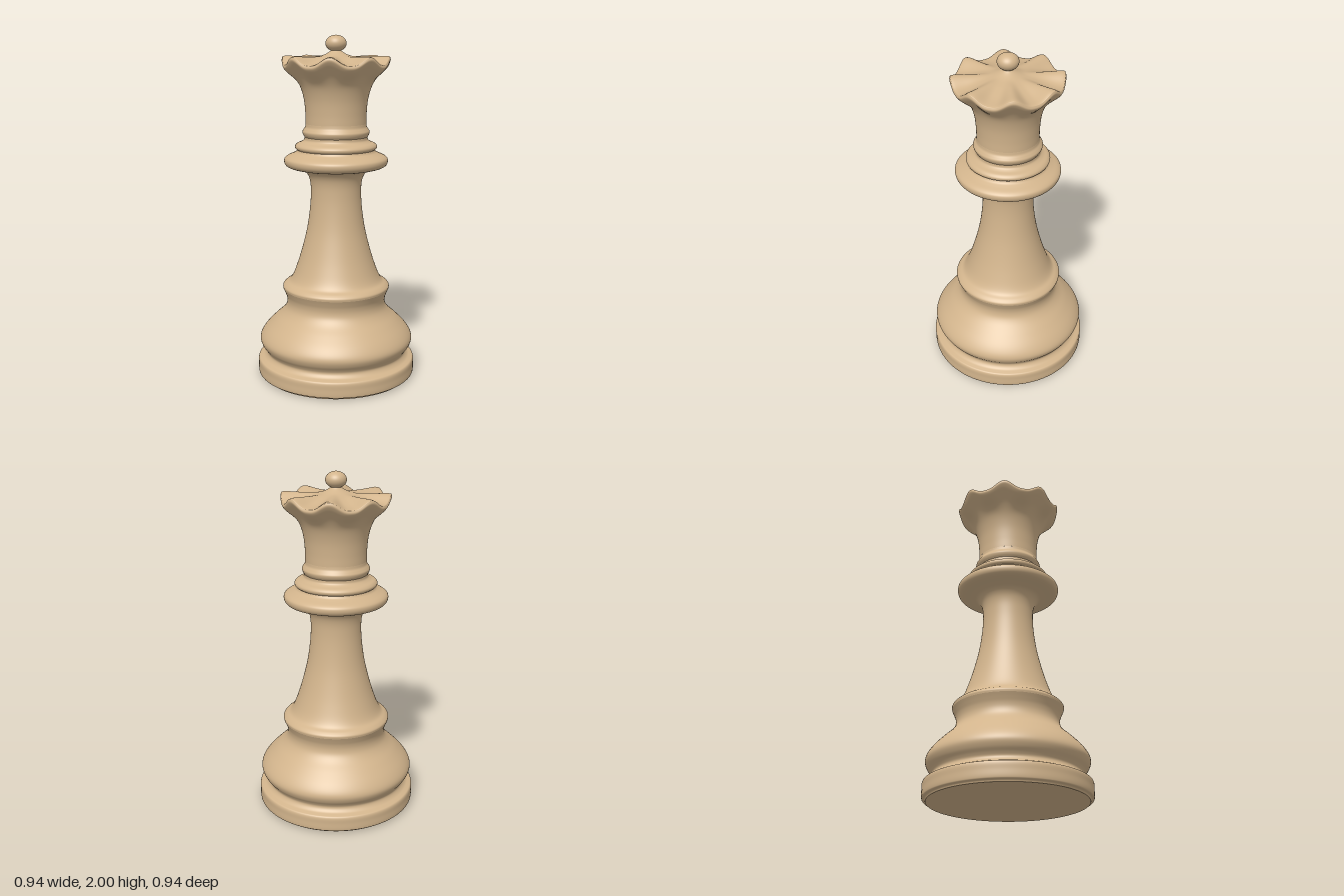
import * as THREE from 'three';
import { mergeVertices } from 'three/addons/utils/BufferGeometryUtils.js';

const SEGMENTS = 96;

// Smooth curve through [radius, height] points
function smooth(points, samples) {
  const curve = new THREE.CatmullRomCurve3(points.map(([r, y]) => new THREE.Vector3(r, y, 0)), false, 'centripetal');
  return curve.getPoints(samples).map((p) => new THREE.Vector2(Math.max(p.x, 0), p.y));
}

export function createModel() {
  const group = new THREE.Group();
  const wood = new THREE.MeshStandardMaterial({ color: 0xd2b48c });
  wood.name = 'lightWood';

  function add(name, geometry) {
    const mesh = new THREE.Mesh(geometry, wood);
    mesh.name = name;
    group.add(mesh);
    return mesh;
  }
  const turned = (name, points, samples) => add(name, new THREE.LatheGeometry(smooth(points, samples), SEGMENTS));

  // Flat underside and foot ring
  const underside = add('underside', new THREE.CircleGeometry(0.445, SEGMENTS));
  underside.rotation.x = Math.PI / 2;
  turned('footRing', [[0.445, 0], [0.45, 0.01], [0.464, 0.014], [0.467, 0.025], [0.467, 0.06], [0.467, 0.092], [0.462, 0.103], [0.45, 0.108]], 32);
  turned('footGroove', [[0.45, 0.108], [0.433, 0.115], [0.42, 0.13], [0.417, 0.143], [0.425, 0.16], [0.443, 0.185],
    [0.454, 0.215], [0.45, 0.24], [0.425, 0.28], [0.37, 0.337], [0.32, 0.383], [0.298, 0.415], [0.291, 0.445],
    [0.294, 0.475], [0.303, 0.5], [0.314, 0.525]], 70);

  // Shoulder bead and tapering stem
  turned('stem', [[0.314, 0.525], [0.315, 0.54], [0.3, 0.556], [0.275, 0.572], [0.256, 0.6], [0.225, 0.68], [0.195, 0.78],
    [0.169, 0.89], [0.153, 1.0], [0.147, 1.09], [0.15, 1.16], [0.162, 1.2], [0.185, 1.228], [0.225, 1.24]], 70);

  // Wide collar
  turned('collar', [[0.225, 1.24], [0.265, 1.248], [0.29, 1.26], [0.3, 1.278], [0.299, 1.298], [0.285, 1.312],
    [0.25, 1.328], [0.232, 1.338], [0.224, 1.35]], 45);

  // Stacked thin rings
  turned('upperRing', [[0.224, 1.35], [0.235, 1.359], [0.237, 1.372], [0.225, 1.386], [0.2, 1.396], [0.185, 1.408], [0.182, 1.425]], 35);
  turned('neckRing', [[0.182, 1.425], [0.191, 1.44], [0.194, 1.455], [0.187, 1.468], [0.178, 1.482], [0.175, 1.5]], 30);

  // Flared crown: eight points are formed by lowering the rim between them
  const wall = smooth([[0.175, 1.5], [0.176, 1.56], [0.184, 1.64], [0.204, 1.71], [0.235, 1.765], [0.276, 1.815],
    [0.3, 1.845], [0.31, 1.865], [0.306, 1.88]], 44);
  const top = smooth([[0.306, 1.88], [0.29, 1.883], [0.22, 1.881], [0.15, 1.88], [0.09, 1.883], [0.06, 1.893],
    [0.035, 1.908], [0.025, 1.92]], 34);
  let crown = new THREE.LatheGeometry([...wall, ...top.slice(1)], 192);
  const pos = crown.attributes.position;
  for (let i = 0; i < pos.count; i++) {
    const x = pos.getX(i), y = pos.getY(i), z = pos.getZ(i);
    const r = Math.hypot(x, z);
    const dip = 1 - Math.pow(0.5 + 0.5 * Math.cos(8 * Math.atan2(z, x)), 1.4);
    const onTop = y > 1.8795;
    const weight = onTop ? THREE.MathUtils.smoothstep(r, 0.07, 0.31) : THREE.MathUtils.smoothstep(y, 1.7, 1.88);
    const shrink = 1 - 0.025 * dip * weight;
    pos.setXYZ(i, x * shrink, y - 0.045 * dip * weight, z * shrink);
  }
  crown.deleteAttribute('normal');
  crown.deleteAttribute('uv');
  crown = mergeVertices(crown, 1e-5);
  crown.computeVertexNormals();
  add('crown', crown);

  // Ball on top
  const ball = add('finial', new THREE.SphereGeometry(0.06, 40, 24));
  ball.scale.y = 0.78;
  ball.position.y = 1.953;

  return group;
}
